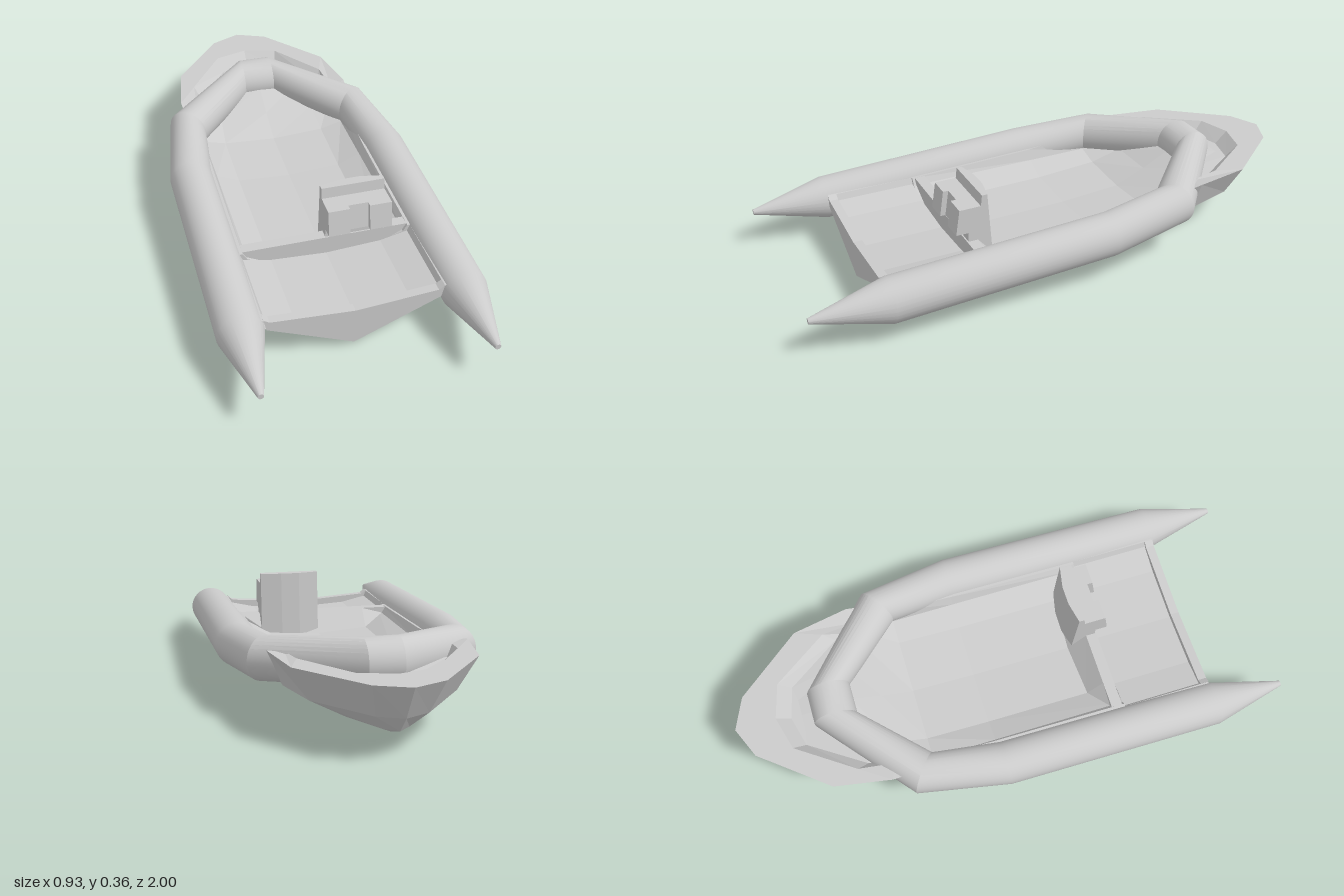
import * as THREE from 'three';
import { toCreasedNormals } from 'three/addons/utils/BufferGeometryUtils.js';

const flat = new THREE.MeshStandardMaterial({ color: 0xcccccc, flatShading: true, side: THREE.DoubleSide });
const smooth = new THREE.MeshStandardMaterial({ color: 0xcccccc, side: THREE.DoubleSide });

// Skin closed rings of [x, y, z]; capAxes picks the plane used to fill both ends
function loft(rings, capAxes) {
  const n = rings[0].length, index = [];
  for (let i = 0; i < rings.length - 1; i++) {
    for (let j = 0; j < n; j++) {
      const k = (j + 1) % n;
      const a = i * n + j, b = i * n + k, c = b + n, d = a + n;
      index.push(a, b, c, a, c, d);
    }
  }
  if (capAxes) {
    [0, rings.length - 1].forEach((r) => {
      const outline = rings[r].map((p) => new THREE.Vector2(p[capAxes[0]], p[capAxes[1]]));
      THREE.ShapeUtils.triangulateShape(outline, []).forEach((t) => index.push(...t.map((v) => r * n + v)));
    });
  }
  const g = new THREE.BufferGeometry();
  g.setAttribute('position', new THREE.Float32BufferAttribute(rings.flat(2), 3));
  g.setIndex(index);
  g.computeVertexNormals();
  return g;
}

function add(group, name, geometry, material = flat) {
  const mesh = new THREE.Mesh(geometry, material);
  mesh.name = name;
  group.add(mesh);
}

// Half section from keel out to the gunwale, then inside down to the floor centre
function mirrorSection(half) {
  const other = half.slice(1, -1).reverse().map(([x, y, z]) => [-x, y, z]);
  return [...half, ...other];
}

function hullGeometry() {
  const bow = [
    [[0, .045, -.76], [0, .08, -.86], [0, .14, -.92], [0, .26, -1], [0, .26, -.85], [0, .215, -.8], [0, .215, -.79], [0, .215, -.78]],
    [[0, .045, -.76], [.045, .075, -.81], [.085, .14, -.88], [.115, .26, -.95], [.127, .26, -.815], [.115, .215, -.77], [.06, .215, -.76], [0, .215, -.76]],
    [[0, .036, -.71], [.12, .07, -.66], [.245, .14, -.68], [.307, .26, -.71], [.27, .26, -.61], [.25, .22, -.57], [.15, .225, -.57], [0, .235, -.57]],
    [[0, .003, -.5], [.17, .07, -.5], [.295, .14, -.5], [.345, .26, -.5], [.285, .25, -.48], [.265, .185, -.46], [.19, .18, -.46], [0, .18, -.46]],
  ];
  // Straight stations: z, gunwale height, floor height
  const middle = [[-.34, .23, .13], [-.1, .205, .115], [.4, .19, .11]].map(([z, top, floor]) => [
    [0, .003, z], [.178, .068, z], [.295, .138, z], [.335, top, z],
    [.3, top, z], [.285, .165, z], [.2, floor + .012, z], [0, floor, z],
  ]);
  // Stepped aft bottom with a shallow well above it
  const aft = [.4, .73].map((z) => [
    [0, .013, z], [.17, .087, z], [.3, .145, z], [.33, .19, z],
    [.31, .188, z], [.3, .165, z], [.2, .142, z], [0, .13, z],
  ]);
  return loft([...bow, ...middle, ...aft].map(mirrorSection));
}

// Round tube running tip to tip around the bow; each ring has a radius and a heading in degrees
function tubeGeometry(sides = 32) {
  const half = [[.385, .147, 1, .01, 0], [.385, .147, .73, .08, 0], [.385, .181, -.09, .08, 0],
    [.34, .206, -.385, .079, 37], [.06, .244, -.64, .08, 90]];
  const path = [...half, ...half.slice().reverse().map(([x, y, z, r, turn]) => [-x, y, z, r, 180 - turn])];
  const rings = path.map(([x, y, z, r, turn]) => {
    const heading = THREE.MathUtils.degToRad(turn);
    return Array.from({ length: sides }, (_, j) => {
      const a = j / sides * Math.PI * 2, out = r * Math.cos(a);
      return [x + out * Math.cos(heading), y + r * Math.sin(a), z - out * Math.sin(heading)];
    }).reverse();
  });
  return toCreasedNormals(loft(rings, [0, 1]), 0.3);
}

export function createModel() {
  const boat = new THREE.Group();
  boat.name = 'inflatableBoat';

  add(boat, 'hull', hullGeometry());
  add(boat, 'inflatableTube', tubeGeometry(), smooth);

  // Stern board with a shallow dip along its top
  const board = new THREE.Shape([[0, .013], [.3, .145], [.31, .19], [.29, .176], [0, .155],
    [-.29, .176], [-.31, .19], [-.3, .145]].map(([x, y]) => new THREE.Vector2(x, y)));
  const transom = new THREE.ExtrudeGeometry(board, { depth: .032, bevelEnabled: false });
  transom.translate(0, 0, .70);
  add(boat, 'transom', transom);

  // Cross bench whose forward face slopes down to the floor
  const bench = [[-.305, .16, .35], [-.2, .12, .29], [0, .11, .28], [.2, .12, .29], [.305, .16, .35]];
  add(boat, 'crossBench', loft(bench.map(([x, y, z]) =>
    [[x, y, .39], [x, y, z], [x, .19, .35], [x, .19, .39]]), [2, 1]));

  // Steering console: faceted forward face, notch in the side facing the stern
  const consoleRing = (x, front, notch) => [
    [x, .115, .385], [x, .115, .285 + front], [x, .36, .3 + front], [x, .36, .33], [x, .32, .335],
    [x, .32, .415 - notch], [x, .225, .43 - notch], [x, .225, .385],
  ];
  add(boat, 'steeringConsole', loft([
    consoleRing(0, .01, 0), consoleRing(.078, -.006, 0), consoleRing(.078, -.006, .02),
    consoleRing(.15, -.006, .02), consoleRing(.15, -.006, 0), consoleRing(.23, .01, 0),
  ], [2, 1]));

  return boat;
}
